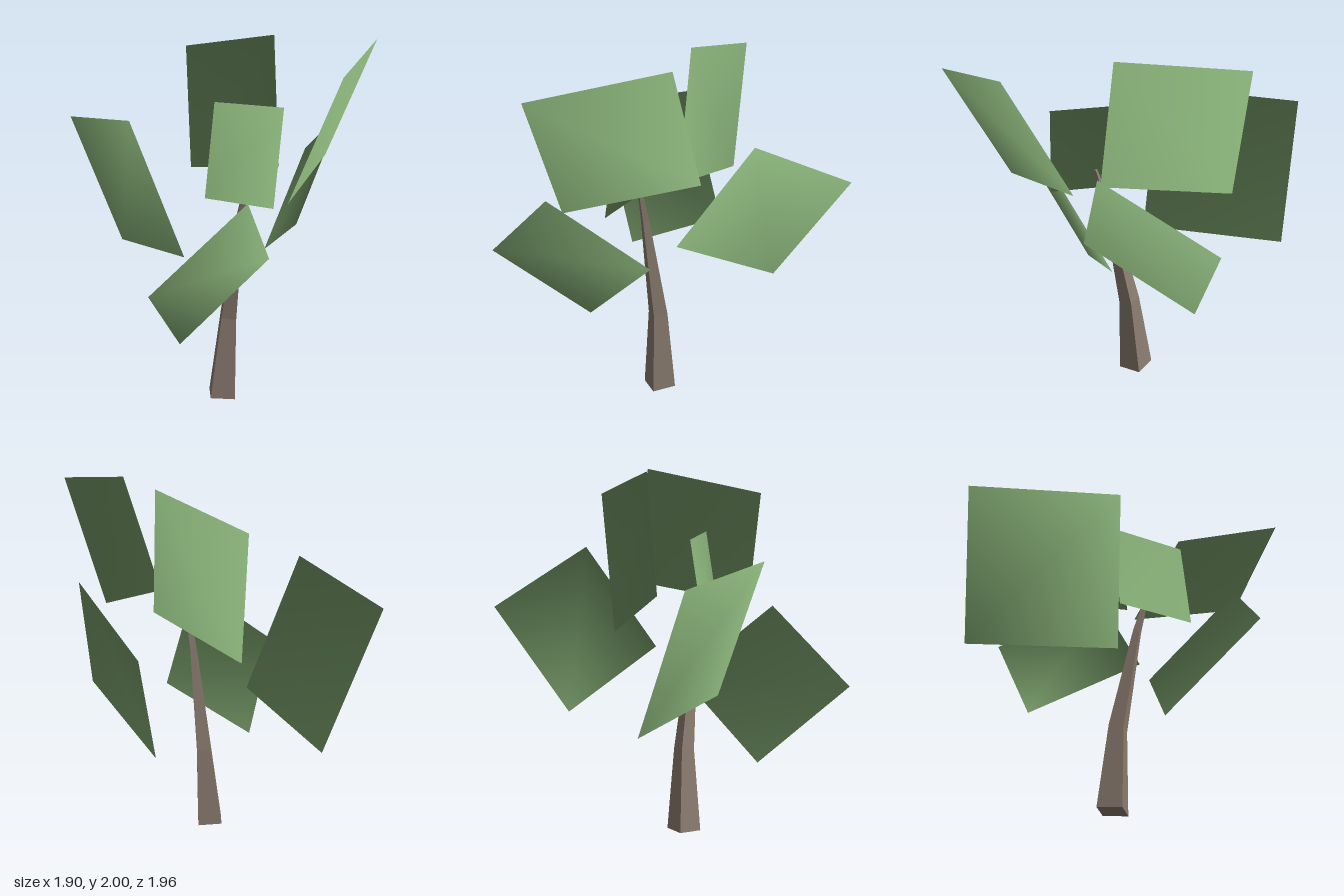
import * as THREE from 'three';

// Four-sided trunk rings: centre x, y, z, radius, tilt of the ring along z
const RINGS = [
  [-0.065, 0.01, 0, 0.095, -0.01],
  [-0.057, 0.47, 0.04, 0.057, -0.012],
  [-0.085, 1.05, 0.15, 0.025, -0.008],
  [-0.095, 1.29, 0.215, 0.01, -0.004],
];

// Three corners of each leaf card; the fourth completes the parallelogram
const LEAVES = {
  frontLeaf: [[-0.34, 1.84, 0.98], [0.31, 1.99, 0.73], [0.33, 1.36, 0.40]],
  lowerLeaf: [[-0.95, 0.81, 0.31], [-0.48, 1.22, 0.53], [0, 0.82, 0.28]],
  leftLeaf: [[0.58, 1.56, 0.32], [0.95, 1.28, -0.20], [0.54, 0.71, -0.19]],
  topLeaf: [[0.18, 2.0, 0.16], [0.24, 1.92, -0.54], [0.20, 1.22, -0.47]],
  backLeaf: [[-0.53, 1.57, -0.23], [-0.27, 1.52, -0.98], [-0.01, 0.77, -0.84]],
  smallLeaf: [[-0.10, 1.65, 0.45], [-0.10, 1.65, -0.02], [-0.18, 1.14, -0.02]],
};

// Leaf normals fan out from here so the crown shades as one soft mass
const CROWN = new THREE.Vector3(0, 0.7, 0.06);

function leafGeometry([a, b, c]) {
  const [p, q, r] = [a, b, c].map((v) => new THREE.Vector3(...v));
  const corners = [p, q, r, p.clone().add(r).sub(q)];
  const normals = corners.map((v) => v.clone().sub(CROWN).normalize());
  const geo = new THREE.BufferGeometry();
  geo.setAttribute('position', new THREE.Float32BufferAttribute(corners.flatMap((v) => v.toArray()), 3));
  geo.setAttribute('normal', new THREE.Float32BufferAttribute(normals.flatMap((v) => v.toArray()), 3));
  // Wind the corners so the front faces away from the crown centre
  const face = q.clone().sub(p).cross(r.clone().sub(p));
  const middle = p.clone().add(r).multiplyScalar(0.5).sub(CROWN);
  geo.setIndex(face.dot(middle) > 0 ? [0, 1, 2, 0, 2, 3] : [0, 2, 1, 0, 3, 2]);
  return geo;
}

function trunkGeometry() {
  const pos = [];
  const index = [];
  for (const [x, y, z, r, tilt] of RINGS) {
    for (let i = 0; i < 4; i++) {
      const t = (i * Math.PI) / 2;
      pos.push(x + r * Math.sin(t), y + tilt * Math.cos(t), z + r * Math.cos(t));
    }
  }
  for (let k = 0; k < RINGS.length - 1; k++) {
    for (let i = 0; i < 4; i++) {
      const a = k * 4 + i;
      const b = k * 4 + ((i + 1) % 4);
      index.push(a, b, b + 4, a, b + 4, a + 4);
    }
  }
  // End caps
  const top = (RINGS.length - 1) * 4;
  index.push(0, 2, 1, 0, 3, 2, top, top + 1, top + 2, top, top + 2, top + 3);
  const geo = new THREE.BufferGeometry();
  geo.setAttribute('position', new THREE.Float32BufferAttribute(pos, 3));
  geo.setIndex(index);
  const flat = geo.toNonIndexed();
  flat.computeVertexNormals();
  return flat;
}

export function createModel() {
  const bark = new THREE.MeshStandardMaterial({ name: 'bark', color: 0x8a7c70 });
  const foliage = new THREE.MeshStandardMaterial({ name: 'foliage', color: 0x7fa670, side: THREE.DoubleSide });

  const tree = new THREE.Group();
  tree.name = 'tree';

  const trunk = new THREE.Mesh(trunkGeometry(), bark);
  trunk.name = 'trunk';
  tree.add(trunk);

  const crown = new THREE.Group();
  crown.name = 'crown';
  for (const [name, corners] of Object.entries(LEAVES)) {
    const leaf = new THREE.Mesh(leafGeometry(corners), foliage);
    leaf.name = name;
    crown.add(leaf);
  }
  tree.add(crown);
  return tree;
}
